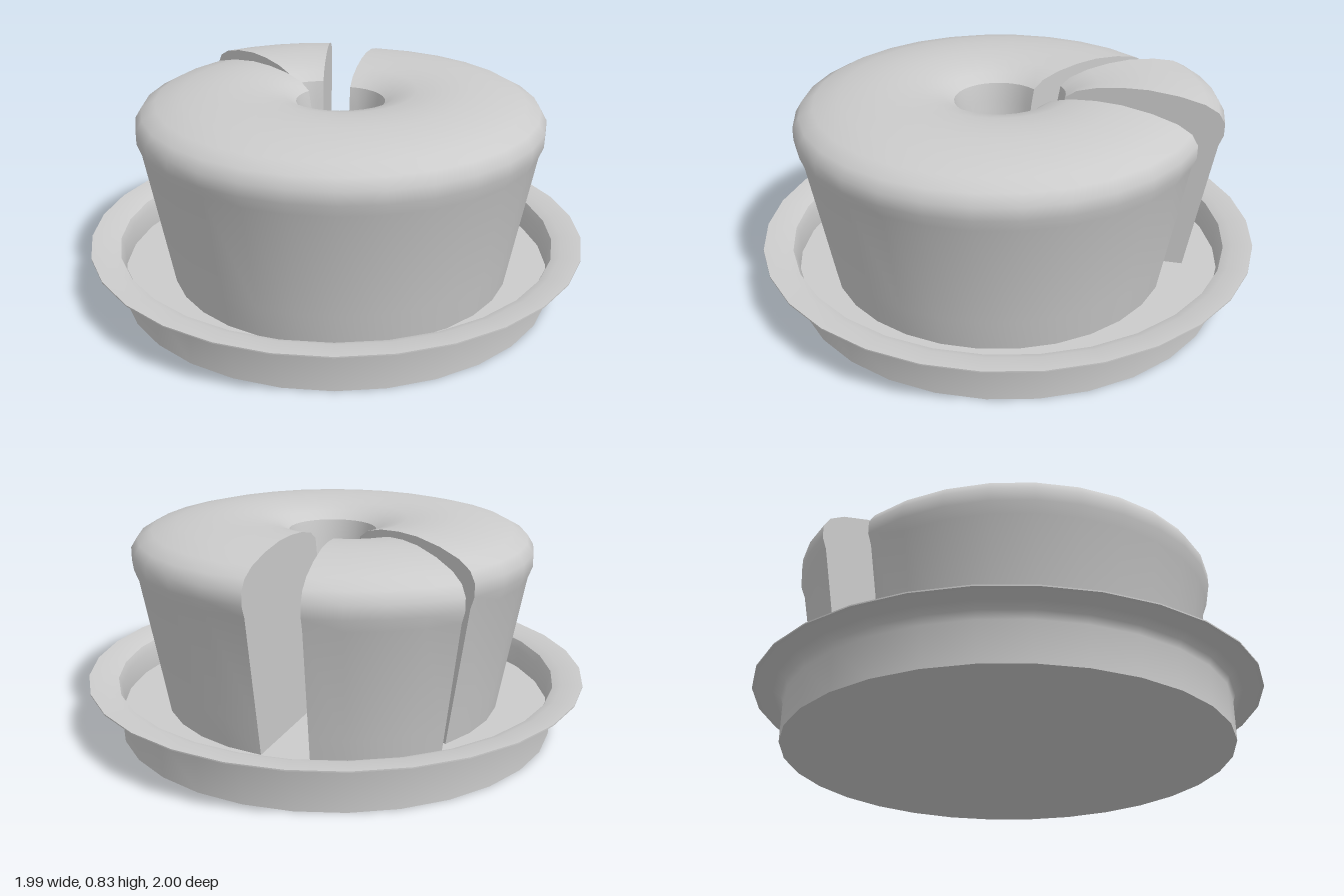
import * as THREE from 'three';
import { toCreasedNormals } from 'three/addons/utils/BufferGeometryUtils.js';

const rad = THREE.MathUtils.degToRad;
const material = new THREE.MeshStandardMaterial({ color: 0xcccccc, side: THREE.DoubleSide });
const FLOOR = 0.08;

// Ring cake cross-section (radius, height): up the outside, over the top, down the hole
const cakeProfile = [
  [0.685, FLOOR], [0.708, 0.21], [0.783, 0.63], [0.8, 0.675], [0.8, 0.725], [0.775, 0.765],
  [0.72, 0.795], [0.62, 0.82], [0.5, 0.835], [0.4, 0.835], [0.3, 0.825],
  [0.22, 0.805], [0.175, 0.775], [0.16, 0.7], [0.125, FLOOR],
].map(([r, y]) => new THREE.Vector2(r, y));

// Dish cross-section: underside, wall, flared rim, then back down to the inner floor
const dishProfile = [
  [0, 0], [0.88, 0], [0.88, 0.155], [0.89, 0.185], [0.92, 0.203], [1, 0.21],
  [1, 0.215], [0.92, 0.211], [0.885, 0.197], [0.872, 0.165], [0.87, FLOOR], [0, FLOOR],
].map(([r, y]) => new THREE.Vector2(r, y));

function lathe(name, profile, segments, start = 0, sweep = 360) {
  const geometry = new THREE.LatheGeometry(profile, segments, rad(start), rad(sweep));
  const mesh = new THREE.Mesh(toCreasedNormals(geometry, rad(42)), material);
  mesh.name = name;
  return mesh;
}

// A wedge of cake: swept crust plus a flat cut face at each end
function cakePiece(name, segments, start, sweep) {
  const piece = new THREE.Group();
  piece.name = name;
  piece.add(lathe(name + 'Crust', cakeProfile, segments, start, sweep));
  [start, start + sweep].forEach((angle, i) => {
    const face = new THREE.Mesh(new THREE.ShapeGeometry(new THREE.Shape(cakeProfile)), material);
    face.name = name + (i ? 'EndCut' : 'StartCut');
    face.rotation.y = rad(angle - 90);
    piece.add(face);
  });
  return piece;
}

export function createModel() {
  const model = new THREE.Group();
  model.name = 'cutRingCake';

  model.add(lathe('dish', dishProfile, 30));

  // Main cake with a 60 degree opening at the back
  const cake = cakePiece('cake', 25, 215.2, 300);
  cake.position.set(0.01, 0, 0.037);
  model.add(cake);

  // Narrower slice pulled slightly out of the opening
  const slice = cakePiece('slice', 4, 165.4, 39.7);
  slice.position.set(-0.052, 0, -0.056);
  model.add(slice);

  return model;
}
